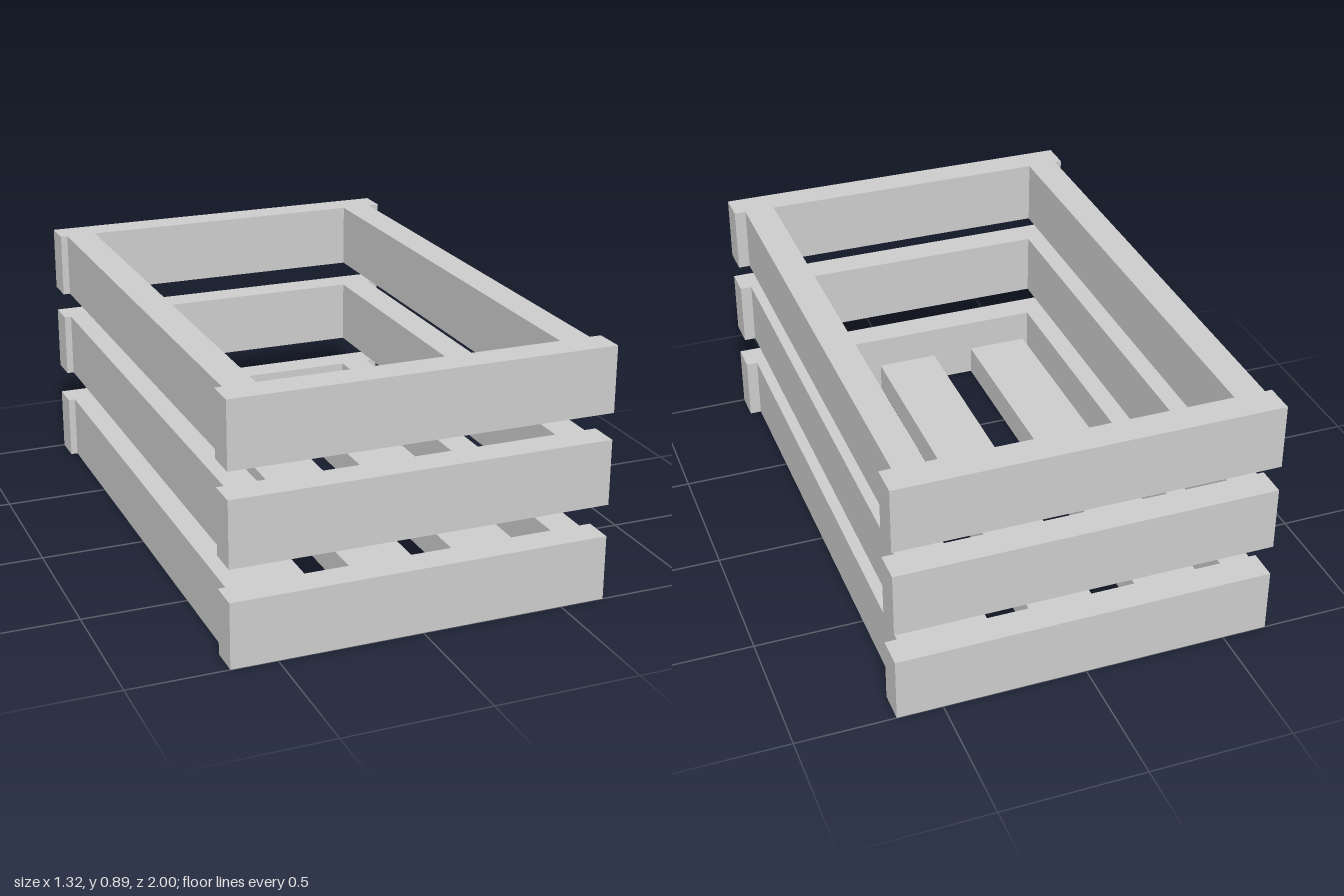
import * as THREE from 'three';

export function createModel() {
  const crate = new THREE.Group();
  crate.name = 'crate';
  const wood = new THREE.MeshStandardMaterial({ color: 0xcccccc, flatShading: true });

  const BOARD = 0.229;        // board width
  const THICK = 0.108;        // board thickness
  const INNER = 2 - 2 * THICK; // length between the end boards

  function addBoard(parent, name, size, position) {
    const mesh = new THREE.Mesh(new THREE.BoxGeometry(...size), wood);
    mesh.position.set(...position);
    mesh.name = name;
    parent.add(mesh);
  }

  // Three stacked frames, each with two end boards and two side boards
  [0, 0.342, 0.664].forEach((base, i) => {
    const frame = new THREE.Group();
    frame.name = `frame${i + 1}`;
    const y = base + BOARD / 2;
    addBoard(frame, 'frontBoard', [1.316, BOARD, THICK], [0, y, 1 - THICK / 2]);
    addBoard(frame, 'backBoard', [1.316, BOARD, THICK], [0, y, -1 + THICK / 2]);
    // Side boards sit slightly off centre
    addBoard(frame, 'leftBoard', [THICK, BOARD, INNER], [0.563, y, 0]);
    addBoard(frame, 'rightBoard', [THICK, BOARD, INNER], [-0.579, y, 0]);
    crate.add(frame);
  });

  // Floor slats, flush with the underside
  [-0.392, -0.004, 0.374].forEach((x, i) => {
    addBoard(crate, `floorSlat${i + 1}`, [BOARD, THICK, INNER], [x, THICK / 2, 0]);
  });

  return crate;
}
